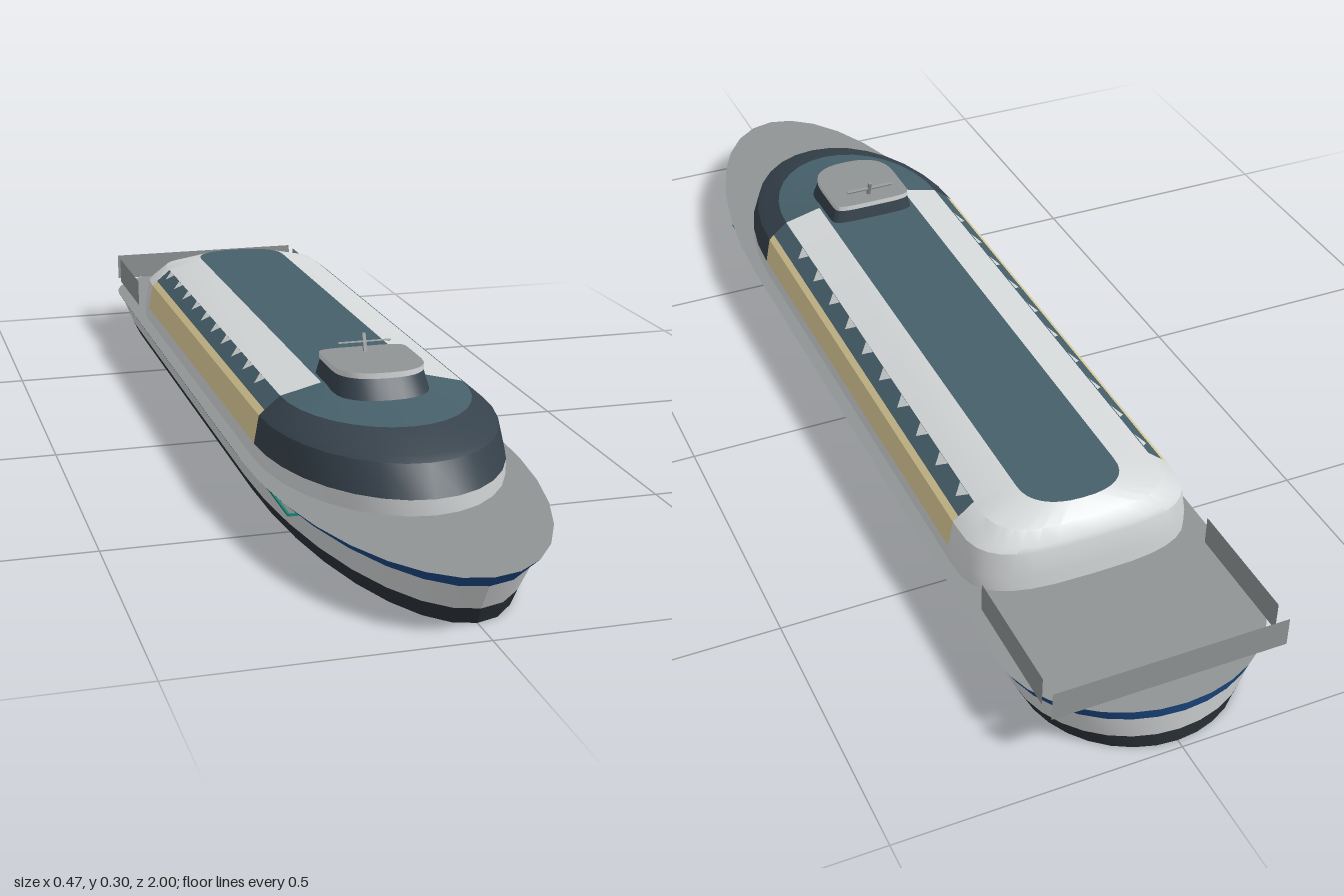
import * as THREE from 'three';
import { toCreasedNormals } from 'three/addons/utils/BufferGeometryUtils.js';

const mat = (name, color, side = THREE.FrontSide) => {
  const m = new THREE.MeshStandardMaterial({ color, side });
  m.name = name;
  return m;
};

// Plan outline: elliptic bow arc, straight sides with one break, rounded stern arc.
const N = 16;
function outline({ y, w, zf, zb, z0, z1, zs = -0.55, pf = 1, pb = 1 }) {
  const pow = (v, p) => Math.sign(v) * Math.pow(Math.abs(v), p);
  const pts = [];
  for (let i = 0; i <= N; i++) {
    const a = Math.PI * i / N;
    pts.push([w * pow(Math.cos(a), pf), y, z0 + (zf - z0) * pow(Math.sin(a), pf)]);
  }
  const brk = Math.max(zs, z1 + 0.001);
  pts.push([-w, y, brk]);
  for (let i = 0; i <= N; i++) {
    const a = Math.PI * i / N;
    pts.push([-w * pow(Math.cos(a), pb), y, z1 + (zb - z1) * pow(Math.sin(a), pb)]);
  }
  pts.push([w, y, brk]);
  return pts;
}

// Which part of the outline a wall panel belongs to.
const zone = i => (i < N ? 'front' : i === N || i === 2 * N + 3 ? 'side' : 'rear');

// Walls between stacked outlines; pick(level, zone) names the part of each panel.
function loft(levels, pick, parts = {}) {
  const rings = levels.map(outline);
  for (let l = 0; l < rings.length - 1; l++) {
    const lo = rings[l], hi = rings[l + 1];
    lo.forEach((A, i) => {
      const j = (i + 1) % lo.length, B = lo[j], C = hi[j], D = hi[i];
      (parts[pick(l, zone(i))] ??= []).push(...A, ...D, ...C, ...A, ...C, ...B);
    });
  }
  return parts;
}

// Flat lid over one outline, facing up.
function cap(level) {
  const p = outline(level), out = [];
  p.forEach((A, i) => out.push(0, level.y, (level.z0 + level.z1) / 2, ...p[(i + 1) % p.length], ...A));
  return out;
}

function surface(positions) {
  const g = new THREE.BufferGeometry();
  g.setAttribute('position', new THREE.Float32BufferAttribute(positions, 3));
  return toCreasedNormals(g, 0.45);
}

export function createModel() {
  const group = new THREE.Group();
  const white = mat('white paint', 0xd6d9da, THREE.DoubleSide);
  const grey = mat('deck grey', 0x909494, THREE.DoubleSide);
  const black = mat('boot black', 0x2b3238);
  const blue = mat('band blue', 0x1d4a86);
  const glass = mat('dark glass', 0x36424c);
  const teal = mat('roof teal', 0x46606a);
  const tan = mat('window tan', 0xdccb97);
  const green = mat('frame green', 0x1d8576);

  const add = (name, geometry, material, parent = group) => {
    const m = new THREE.Mesh(geometry, material);
    m.name = name;
    parent.add(m);
    return m;
  };
  const addParts = (parts, materials) => {
    for (const name in parts) add(name, surface(parts[name]), materials[name]);
  };

  // Hull bands, open underneath
  const hull = [
    { y: 0, w: 0.187, zf: 0.935, zb: -0.985, z0: 0.28, z1: -0.8 },
    { y: 0.03, w: 0.202, zf: 0.95, zb: -0.988, z0: 0.28, z1: -0.8 },
    { y: 0.078, w: 0.221, zf: 0.98, zb: -0.995, z0: 0.3, z1: -0.8 },
    { y: 0.1, w: 0.235, zf: 1, zb: -1, z0: 0.4, z1: -0.8 },
  ];
  const bands = ['bootBand', 'hullSide', 'blueBand'];
  addParts(loft(hull, l => bands[l]), { bootBand: black, hullSide: white, blueBand: blue });

  // Inner lining of the hull and the deck
  const inner = hull.map(h => ({ ...h, y: h.y * 0.95 + 0.004, w: h.w - 0.004, zf: h.zf - 0.005, zb: h.zb + 0.005 }));
  add('hullLining', surface(loft(inner, () => 'lining').lining), white);
  add('deck', surface(cap(hull[3])), grey);

  // Thin frame under the deck, its front corners showing outside the bow
  const frame = new THREE.Group();
  frame.name = 'underDeckFrame';
  group.add(frame);
  const fx = 0.212, fz = 0.63, bz = -0.8;
  for (const s of [-1, 1]) {
    add('frameSide', new THREE.BoxGeometry(0.004, 0.004, fz - bz), green, frame)
      .position.set(s * fx, 0.082, (fz + bz) / 2);
    add('frameCross', new THREE.BoxGeometry(fx * 2, 0.004, 0.004), green, frame)
      .position.set(0, 0.082, s > 0 ? fz : bz);
  }

  // Cabin: glazed rounded front, side windows, white shell
  const cabin = [
    [0.1, 0.212, 0.74, -0.68], [0.128, 0.212, 0.742, -0.68], [0.178, 0.203, 0.71, -0.679],
    [0.187, 0.193, 0.695, -0.676], [0.21, 0.165, 0.62, -0.66], [0.228, 0.092, 0.44, -0.63],
  ].map(([y, w, zf, zb]) => ({ y, w, zf, zb, z0: 0.4, z1: -0.56, pb: y > 0.22 ? 0.85 : 0.65 }));
  const sideParts = ['cabinShell', 'sideWindows', 'sideWindows', 'upperSideStrip', 'cabinShell'];
  addParts(loft(cabin, (l, z) => {
    if (l === 0 || z === 'rear') return 'cabinShell';
    if (z === 'side') return sideParts[l];
    return l < 4 ? 'frontGlass' : 'frontRoof';
  }), { cabinShell: white, sideWindows: tan, upperSideStrip: teal, frontGlass: glass, frontRoof: teal });
  add('roofPanel', surface(cap(cabin[5])), teal);

  // Small white notches along the upper side strips
  const notches = [];
  for (const s of [-1, 1]) {
    for (let i = 0; i < 10; i++) {
      const z = 0.28 - i * 0.088;
      const tri = [[s * 0.166, 0.211, z + s * 0.018], [s * 0.182, 0.198, z], [s * 0.166, 0.211, z - s * 0.018]];
      notches.push(...tri.flat());
    }
  }
  add('stripNotches', surface(notches), white);

  // Bridge with a flat roof
  const bridge = { zb: 0.33, z0: 0.42, z1: 0.36, zs: 0.38, pf: 0.8, pb: 0.4 };
  addParts(loft([
    { ...bridge, y: 0.222, w: 0.088, zf: 0.512, zb: 0.324 },
    { ...bridge, y: 0.256, w: 0.079, zf: 0.49 },
  ], () => 'bridgeGlass'), { bridgeGlass: glass });
  const roof = { ...bridge, w: 0.08, zf: 0.493, zb: 0.325 };
  addParts(loft([{ ...roof, y: 0.255 }, { ...roof, y: 0.265 }], () => 'bridgeRoofRim'), { bridgeRoofRim: white });
  add('bridgeRoof', surface(cap({ ...roof, y: 0.265 })), grey);

  // Raked mast with crossbar
  const mast = new THREE.Group();
  mast.name = 'mast';
  mast.position.set(0, 0.264, 0.357);
  mast.rotation.x = -0.35;
  group.add(mast);
  add('mastPole', new THREE.BoxGeometry(0.006, 0.034, 0.006), grey, mast).position.y = 0.016;
  add('mastCrossbar', new THREE.BoxGeometry(0.096, 0.003, 0.006), grey, mast).position.y = 0.018;

  // Stern bulwark plates
  for (const s of [-1, 1]) {
    const p = add('sternSidePlate', new THREE.PlaneGeometry(0.23, 0.055), grey);
    p.position.set(s * 0.21, 0.1275, -0.8);
    p.rotation.y = s * Math.PI / 2;
  }
  const back = add('sternBackPlate', new THREE.PlaneGeometry(0.42, 0.055), grey);
  back.position.set(0, 0.1275, -0.95);
  back.rotation.y = Math.PI;

  return group;
}
